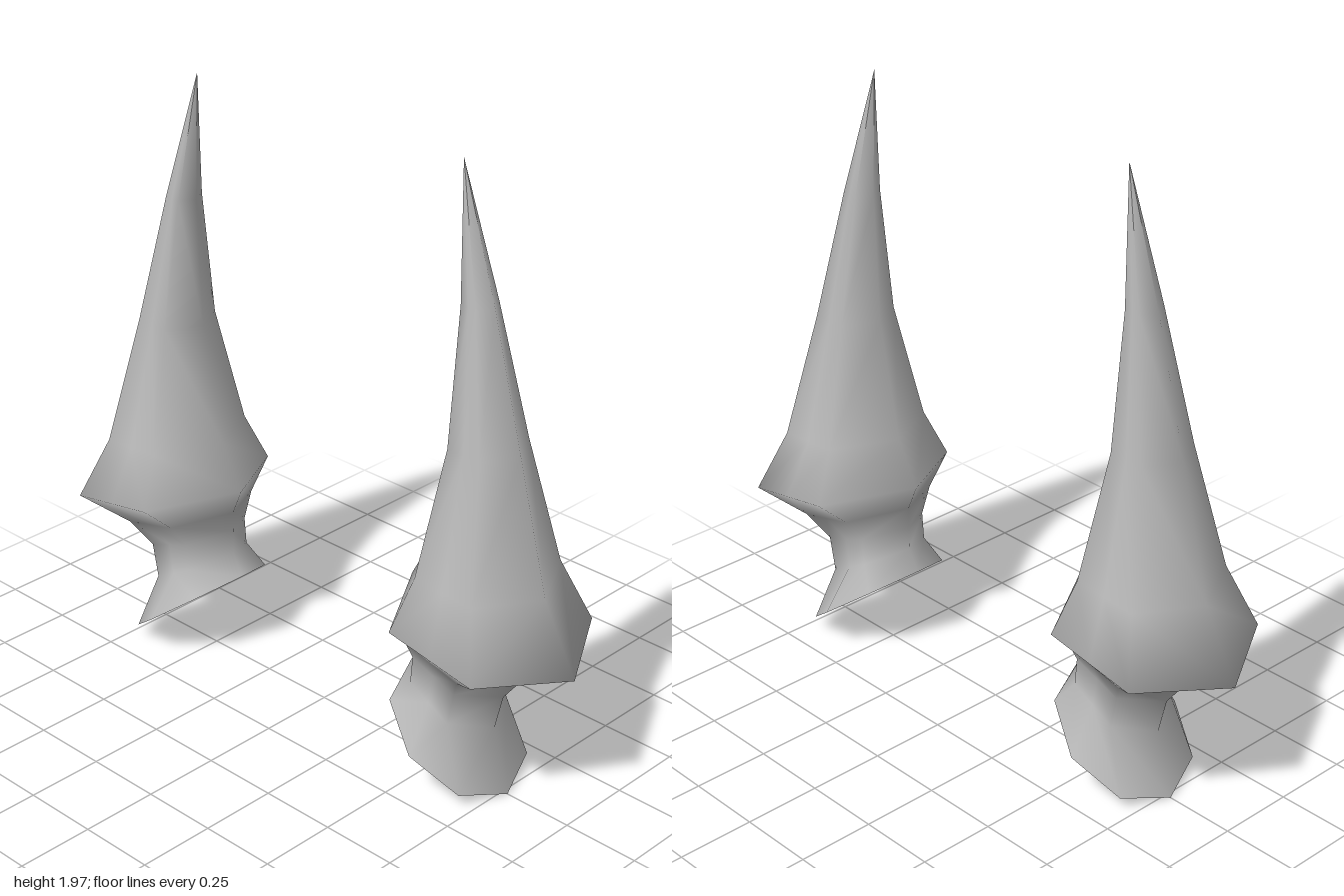
import * as THREE from 'three';

// Rings from the open base to the tip: inner edge x, y, outer edge x, y, half depth
const RINGS = [
  [0.37, 0.31, 0.77, 0.01, 0.225],  // flared base rim
  [0.41, 0.38, 0.71, 0.22, 0.13],   // neck
  [0.41, 0.46, 0.74, 0.34, 0.13],
  [0.41, 0.53, 0.81, 0.43, 0.18],   // underside of flange
  [0.37, 0.62, 1.0, 0.51, 0.275],   // flange
  [0.45, 0.765, 0.88, 0.73, 0.2],   // spike
  [0.53, 1.15, 0.77, 1.15, 0.108],
  [0.548, 1.57, 0.658, 1.57, 0.05],
  [0.53, 1.98, 0.53, 1.98, 0],      // tip
];

// Eight columns: a true octagon at the base, a hexagon with split sides above it
const R = Math.SQRT1_2;
const OCTAGON = [[1, 0], [R, R], [0, 1], [-R, R], [-1, 0], [-R, -R], [0, -1], [R, -R]];
const HEXAGON = [[1, 0], [0.5, 1], [0, 1], [-0.5, 1], [-1, 0], [-0.5, -1], [0, -1], [0.5, -1]];

function hornGeometry(side) {
  const positions = [];
  const index = [];
  RINGS.forEach(([xi, yi, xo, yo, depth], r) => {
    for (const [u, w] of r === 0 ? OCTAGON : HEXAGON) {
      const t = (u + 1) / 2;
      positions.push(side * (xi + (xo - xi) * t), yi + (yo - yi) * t, w * depth);
    }
  });
  const tri = (a, b, c) => (side > 0 ? index.push(a, b, c) : index.push(a, c, b));
  for (let r = 0; r < RINGS.length - 1; r++) {
    for (let i = 0; i < 8; i++) {
      const a = r * 8 + i;
      const b = r * 8 + ((i + 1) % 8);
      tri(a, a + 8, b);
      if (r < RINGS.length - 2) tri(b, a + 8, b + 8);
    }
  }
  const geometry = new THREE.BufferGeometry();
  geometry.setAttribute('position', new THREE.Float32BufferAttribute(positions, 3));
  geometry.setIndex(index);
  geometry.computeVertexNormals();
  return geometry;
}

export function createModel() {
  const group = new THREE.Group();
  group.name = 'hornPair';
  const hornGrey = new THREE.MeshStandardMaterial({ color: 0xb8b8b8, side: THREE.DoubleSide });
  hornGrey.name = 'hornGrey';

  // Mirrored pair of horns
  for (const side of [1, -1]) {
    const horn = new THREE.Mesh(hornGeometry(side), hornGrey);
    horn.name = side > 0 ? 'leftHorn' : 'rightHorn';
    group.add(horn);
  }
  return group;
}
